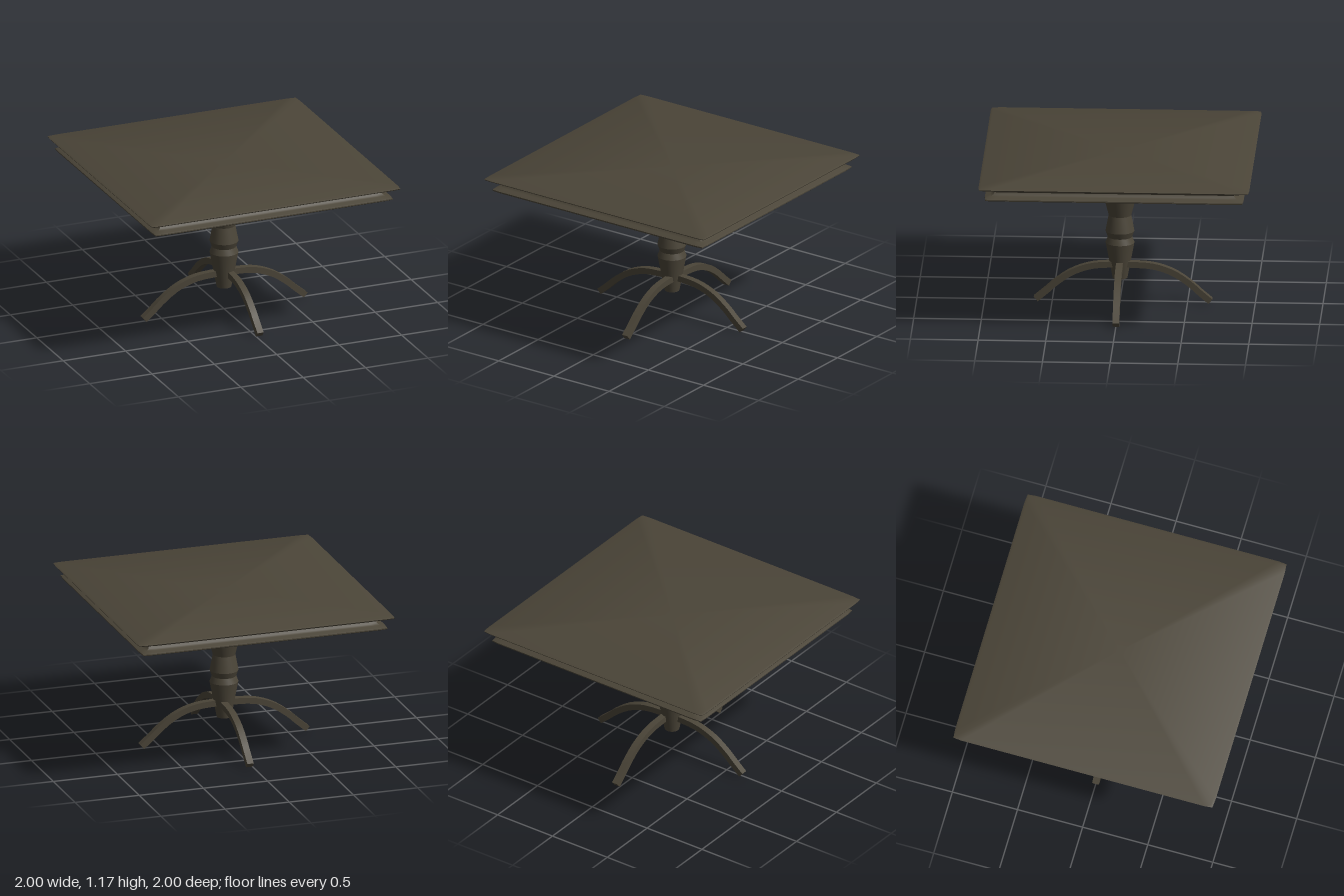
import * as THREE from 'three';
import { toCreasedNormals } from 'three/addons/utils/BufferGeometryUtils.js';

// Square loops with slightly eased corners, stacked along a [halfWidth, y] profile
function squareLoft(profile) {
  const loop = [];
  for (let q = 0; q < 4; q++) {
    for (let [x, z] of [[1, 0.93], [0.994, 0.994], [0.93, 1]]) {
      for (let k = 0; k < q; k++) [x, z] = [-z, x];
      loop.push([x, z]);
    }
  }
  const n = loop.length, positions = [], index = [];
  for (const [h, y] of profile) for (const [x, z] of loop) positions.push(x * h, y, z * h);
  for (let j = 0; j < profile.length - 1; j++) {
    for (let i = 0; i < n; i++) {
      const a = j * n + i, b = j * n + (i + 1) % n, c = a + n, d = b + n;
      if (profile[j][0] > 0) index.push(a, c, b);
      if (profile[j + 1][0] > 0) index.push(b, c, d);
    }
  }
  const geometry = new THREE.BufferGeometry();
  geometry.setAttribute('position', new THREE.Float32BufferAttribute(positions, 3));
  geometry.setIndex(index);
  return toCreasedNormals(geometry, 0.6);
}

// Arched leg: a band of even thickness along a curve, extruded to its width
function legGeometry() {
  const curve = new THREE.SplineCurve([
    [0, 0.295], [0.07, 0.294], [0.2, 0.286], [0.3, 0.262], [0.4, 0.217],
    [0.5, 0.145], [0.56, 0.09], [0.645, 0.0175],
  ].map(([x, y]) => new THREE.Vector2(x, y)));
  const outer = [], inner = [], half = 0.023, steps = 16;
  for (let i = 0; i <= steps; i++) {
    const p = curve.getPoint(i / steps), t = curve.getTangent(i / steps);
    const side = new THREE.Vector2(-t.y, t.x).multiplyScalar(half);
    outer.push(p.clone().add(side));
    inner.unshift(p.clone().sub(side));
  }
  const width = 0.05;
  const geometry = new THREE.ExtrudeGeometry(new THREE.Shape([...outer, ...inner]),
    { depth: width, bevelEnabled: false });
  geometry.translate(0, 0, -width / 2);
  return toCreasedNormals(geometry, 0.5);
}

export function createModel() {
  const model = new THREE.Group();
  model.name = 'pedestalTable';
  const wood = new THREE.MeshStandardMaterial({ color: 0x4b4538 });
  wood.name = 'dark wood';

  const add = (name, geometry) => {
    const mesh = new THREE.Mesh(geometry, wood);
    mesh.name = name;
    model.add(mesh);
    return mesh;
  };

  // Square top with a cove moulded around its edge
  add('tableTop', squareLoft([
    [0, 1.06], [0.948, 1.06], [0.956, 1.066], [0.956, 1.074], [0.945, 1.08],
    [0.915, 1.088], [0.898, 1.098], [0.89, 1.112], [0.9, 1.124], [0.925, 1.134],
    [0.98, 1.147], [0.996, 1.153], [1, 1.16], [0.985, 1.167], [0, 1.167],
  ]));

  // Turned column
  const column = [
    [0, 0.18], [0.055, 0.18], [0.107, 0.455], [0.09, 0.5], [0.107, 0.545], [0.084, 0.667],
    [0.142, 0.89], [0.138, 0.93], [0.129, 0.953], [0.078, 1.062],
  ].map(([r, y]) => new THREE.Vector2(r, y));
  add('column', toCreasedNormals(new THREE.LatheGeometry(column, 24), 0.3));

  // Four arched legs, the front and back pair set slightly off the axis
  const leg = legGeometry();
  ['leftLeg', 'backLeg', 'rightLeg', 'frontLeg'].forEach((name, i) => {
    const mesh = add(name, leg);
    mesh.rotation.y = i * Math.PI / 2;
    if (i % 2) mesh.position.set(0.025, 0, -0.025);
  });

  return model;
}
